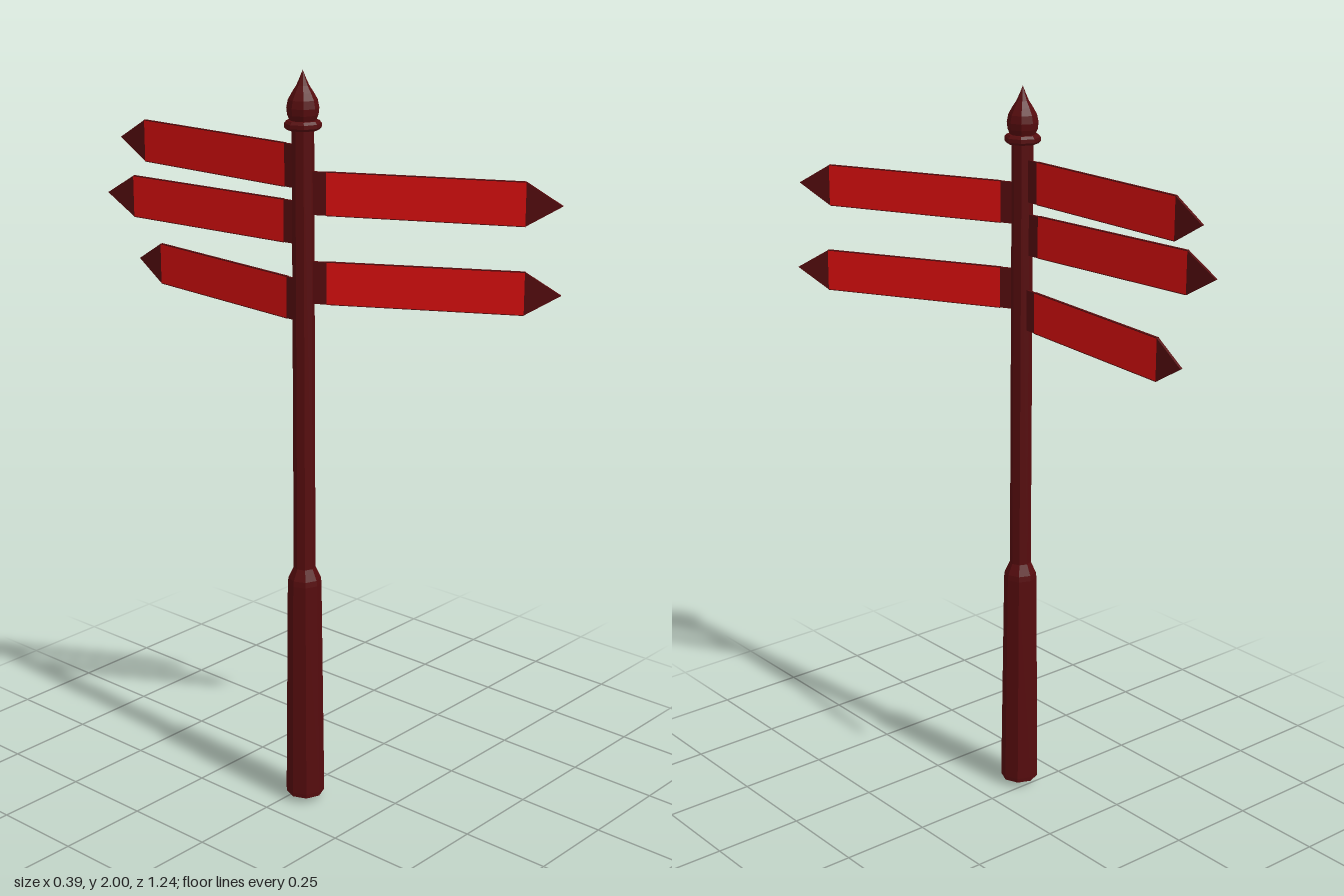
import * as THREE from 'three';

const dark = new THREE.MeshStandardMaterial({ color: 0x560c0e, flatShading: true });
const red = new THREE.MeshStandardMaterial({ color: 0xd80e0e, flatShading: true });

const POST_X = -0.13, POST_Z = 0.035, SIDES = 8;
const SIGN_HEIGHT = 0.11, SIGN_DEPTH = 0.007;
const BAND_END = 0.06, SHOULDER = 0.562, TIP = 0.653;

function add(parent, name, geometry, material) {
  const mesh = new THREE.Mesh(geometry, material);
  mesh.name = name;
  parent.add(mesh);
  return mesh;
}

// Faceted turned part from [radius, height] pairs, bottom to top
function turned(profile) {
  return new THREE.LatheGeometry(profile.map(([r, y]) => new THREE.Vector2(r, y)), SIDES);
}

// Arrow board pointing along its own +x, pivoting on the post axis
function createSign(name, y, dx, dz) {
  const sign = new THREE.Group();
  sign.name = name;
  const board = (part, x0, x1, material) => {
    const mesh = add(sign, part, new THREE.BoxGeometry(x1 - x0, SIGN_HEIGHT, SIGN_DEPTH), material);
    mesh.position.x = (x0 + x1) / 2;
  };
  board('mountingBand', 0.015, BAND_END, dark);
  board('panel', BAND_END, SHOULDER, red);

  // Triangular arrow tip
  const shape = new THREE.Shape();
  shape.moveTo(SHOULDER, -SIGN_HEIGHT / 2);
  shape.lineTo(TIP, 0);
  shape.lineTo(SHOULDER, SIGN_HEIGHT / 2);
  shape.closePath();
  const tip = new THREE.ExtrudeGeometry(shape, { depth: SIGN_DEPTH, bevelEnabled: false });
  tip.translate(0, 0, -SIGN_DEPTH / 2);
  add(sign, 'arrowTip', tip, dark);

  // Dark edging strips along the top and bottom of the panel
  for (const side of [-1, 1]) {
    const strip = add(sign, 'edgeStrip',
      new THREE.BoxGeometry(SHOULDER - BAND_END, 0.002, SIGN_DEPTH + 0.0006), dark);
    strip.position.set((SHOULDER + BAND_END) / 2, side * SIGN_HEIGHT / 2, 0);
  }

  sign.position.y = y;
  sign.rotation.y = Math.atan2(-dz, dx);
  return sign;
}

export function createModel() {
  const signpost = new THREE.Group();
  signpost.name = 'signpost';

  const body = new THREE.Group();
  body.name = 'postAndSigns';
  body.position.set(POST_X, 0, POST_Z);
  signpost.add(body);

  // Thick tapered base, shoulder and slim shaft
  add(body, 'post', turned([
    [0, 0], [0.051, 0.018], [0.052, 0.03], [0.045, 0.64],
    [0.043, 0.655], [0.029, 0.685], [0.028, 1.86], [0, 1.86],
  ]), dark);

  // Collar under the finial
  add(body, 'collar', turned([
    [0, 1.853], [0.042, 1.853], [0.047, 1.859], [0.047, 1.869], [0.041, 1.876], [0, 1.876],
  ]), dark);

  // Bulb finial with a pointed top
  add(body, 'finial', turned([
    [0.033, 1.875], [0.039, 1.89], [0.041, 1.907], [0.037, 1.927],
    [0.027, 1.945], [0.016, 1.962], [0.008, 1.98], [0, 2],
  ]), dark);

  // Signs: name, centre height, direction in x and z
  const signs = [
    ['backSignTop', 1.757, -0.005, -0.65],
    ['backSignMiddle', 1.615, -0.061, -0.65],
    ['backSignBottom', 1.413, 0.049, -0.65],
    ['frontSignTop', 1.694, 0.298, 0.578],
    ['frontSignBottom', 1.464, 0.32, 0.567],
  ];
  for (const s of signs) body.add(createSign(...s));

  return signpost;
}
